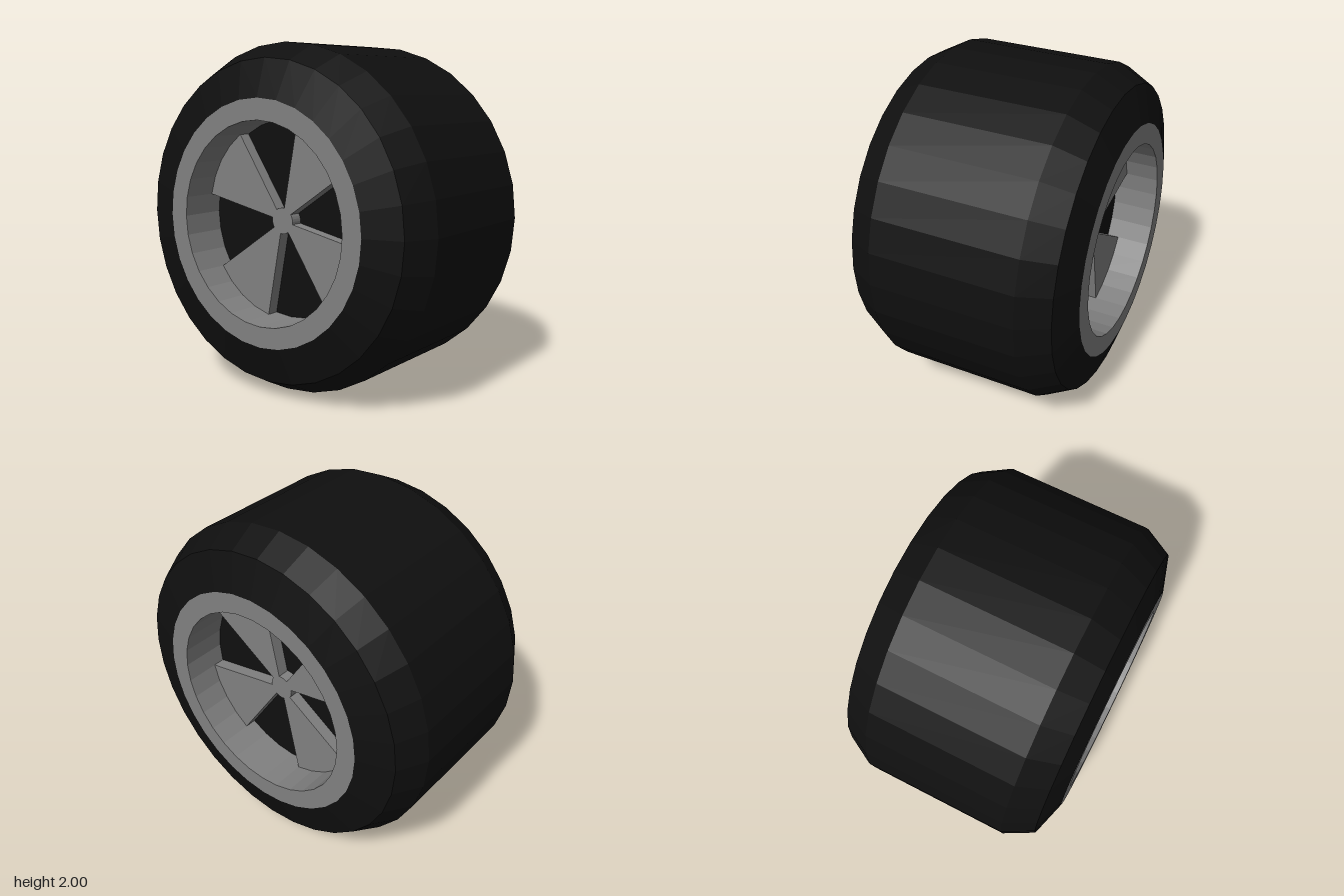
import * as THREE from 'three';

const SIDES = 32;
const HALF_WIDTH = 0.665, RIM_OUTER = 0.695, RIM_INNER = 0.575;
const SPOKE_FACE = 0.465, SPOKE_DEPTH = 0.07, HUB = 0.075;

// Turn a profile of [radius, x] points around the x axis
function turned(points, material, name) {
  const geometry = new THREE.LatheGeometry(points.map(([r, x]) => new THREE.Vector2(r, x)), SIDES);
  geometry.rotateZ(-Math.PI / 2);
  const mesh = new THREE.Mesh(geometry, material);
  mesh.name = name;
  return mesh;
}

// Mirror a profile to the other side, keeping its faces outward
const onSide = (points, side) =>
  side > 0 ? points : points.map(([r, x]) => [r, -x]).reverse();

// Hub with four wedge spokes: wide and narrow eighths alternate
function spokeGeometry() {
  const points = [];
  const add = (r, step) => {
    const a = (step * 2 * Math.PI) / SIDES;
    points.push(new THREE.Vector2(r * Math.cos(a), r * Math.sin(a)));
  };
  for (let spoke = 0; spoke < 4; spoke++) {
    const start = 1 + spoke * 8;
    for (let i = 0; i <= 4; i++) add(RIM_INNER, start + i);
    for (let i = 4; i <= 8; i++) add(HUB, start + i);
    add(HUB, start + 8);
    points.pop();
  }
  const geometry = new THREE.ExtrudeGeometry(new THREE.Shape(points), {
    depth: SPOKE_DEPTH, bevelEnabled: false,
  });
  return geometry.rotateY(Math.PI / 2);
}

export function createModel() {
  const wheel = new THREE.Group();
  wheel.name = 'wheel';
  const rubber = new THREE.MeshStandardMaterial({ color: 0x0f0f0f, flatShading: true });
  const metal = new THREE.MeshStandardMaterial({ color: 0x808080, flatShading: true });

  // Tyre with chamfered shoulders
  const shoulder = [[1, 0.43], [0.91, 0.6], [RIM_OUTER, HALF_WIDTH]];
  wheel.add(turned([...onSide(shoulder, -1), ...shoulder], rubber, 'tyre'));

  const spokes = spokeGeometry();
  const floor = SPOKE_FACE - SPOKE_DEPTH;
  for (const side of [1, -1]) {
    const label = side > 0 ? 'left' : 'right';

    // Flat rim ring and the barrel behind it
    const rim = [[RIM_OUTER, HALF_WIDTH], [RIM_INNER, HALF_WIDTH], [RIM_INNER, floor]];
    wheel.add(turned(onSide(rim, side), metal, label + 'Rim'));

    // Dark disc behind the spokes
    wheel.add(turned(onSide([[RIM_INNER, floor], [0, floor]], side), rubber, label + 'Backing'));

    // Spokes and hub
    const mesh = new THREE.Mesh(spokes, metal);
    mesh.name = label + 'Spokes';
    mesh.position.x = side > 0 ? floor : -SPOKE_FACE;
    wheel.add(mesh);
  }

  wheel.position.y = 1;
  const model = new THREE.Group();
  model.name = 'wheelModel';
  model.add(wheel);
  return model;
}
